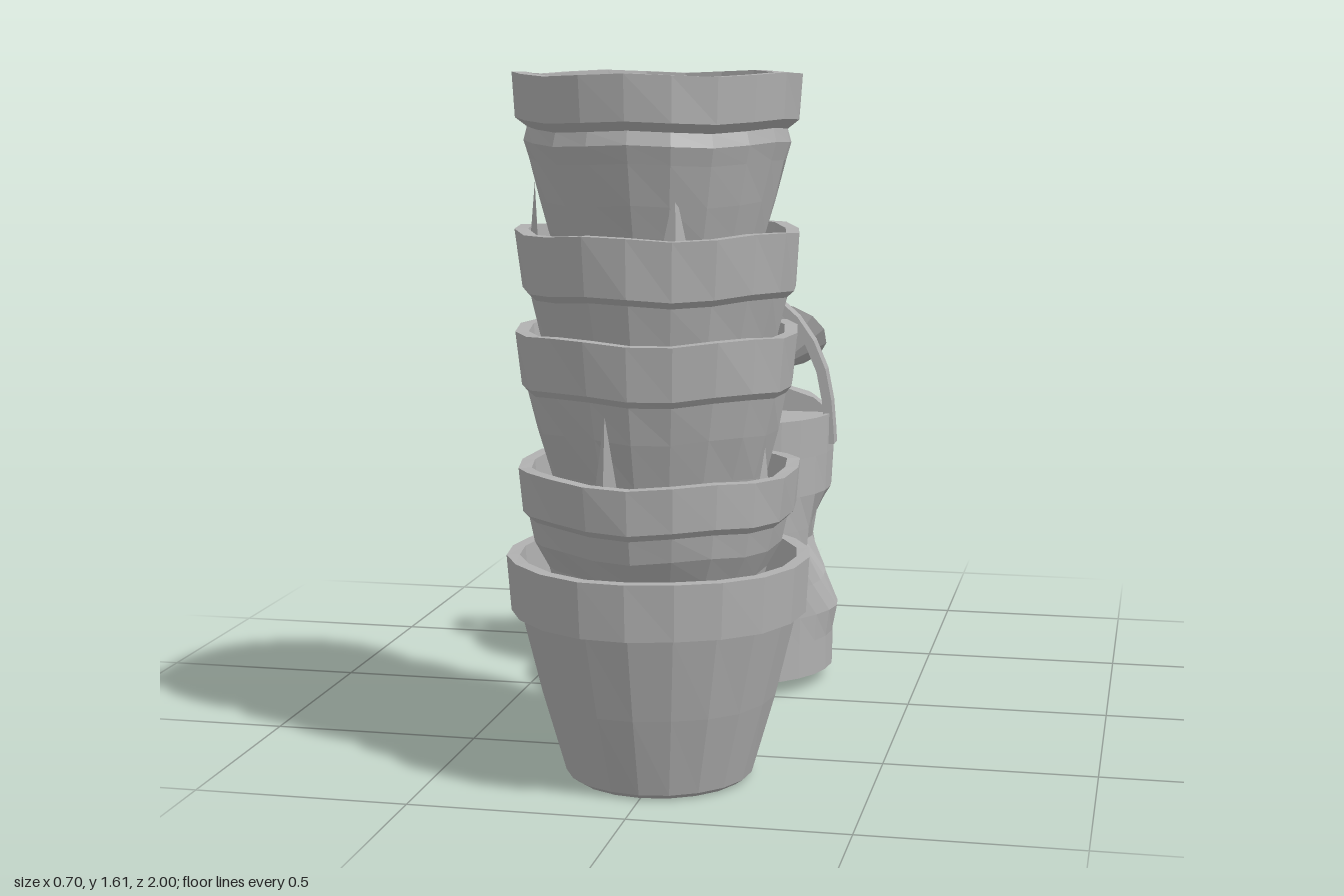
import * as THREE from 'three';

const clay = new THREE.MeshStandardMaterial({ color: 0xb0b0b0, flatShading: true, side: THREE.DoubleSide });
clay.name = 'plain grey';

const POT_Z = 0.655;
const CAN_Z = -0.22;

function part(name, geometry, parent) {
  const mesh = new THREE.Mesh(geometry, clay);
  mesh.name = name;
  parent.add(mesh);
  return mesh;
}

function lathe(points, segments, start = 0, length = Math.PI * 2) {
  return new THREE.LatheGeometry(points.map(([r, y]) => new THREE.Vector2(r, y)), segments, start, length);
}

// Moves every vertex by a rule.
function warp(geometry, rule) {
  const p = geometry.attributes.position;
  const v = new THREE.Vector3();
  for (let i = 0; i < p.count; i++) {
    v.fromBufferAttribute(p, i);
    rule(v);
    p.setXYZ(i, v.x, v.y, v.z);
  }
  geometry.computeVertexNormals();
  return geometry;
}

// Removes the triangles whose centre passes the test.
function chip(geometry, test) {
  const p = geometry.attributes.position, index = geometry.index.array, kept = [];
  const c = new THREE.Vector3(), v = new THREE.Vector3();
  for (let i = 0; i < index.length; i += 3) {
    c.set(0, 0, 0);
    for (let k = 0; k < 3; k++) c.add(v.fromBufferAttribute(p, index[i + k]));
    c.divideScalar(3);
    if (!test(c)) kept.push(index[i], index[i + 1], index[i + 2]);
  }
  geometry.setIndex(kept);
  return geometry;
}

// Worn pot: outer wall from bottom to top, then a thinner inner wall back down.
function potGeometry(outer, wear, seed) {
  const wall = 0.03;
  const bottom = outer[0][1], top = outer[outer.length - 1][1];
  const inner = outer.slice(1, -1).reverse().map(([r, y]) => [r - wall, y]);
  const rim = outer[outer.length - 1][0];
  const profile = [[0.035, bottom], ...outer, [rim - 0.03, top], ...inner,
    [outer[0][0] - wall, bottom + 0.03], [0.035, bottom + 0.03], [0.035, bottom]];
  return warp(lathe(profile, 20), (v) => {
    const a = Math.atan2(v.x, v.z);
    const k = 1 + wear * (0.6 * Math.sin(3 * a + seed + v.y * 9) + 0.5 * Math.sin(7 * a + seed * 2 - v.y * 14));
    v.x *= k;
    v.z *= k;
    if (v.y > bottom + 0.1) v.y += wear * 0.4 * Math.sin(5 * a + seed * 3);
  });
}

// Flat band following a curve of [u, v] points, extruded sideways.
function band(points, thickness, width) {
  const curve = new THREE.CatmullRomCurve3(points.map(([x, y]) => new THREE.Vector3(x, y, 0)));
  const a = [], b = [], n = 16;
  for (let i = 0; i <= n; i++) {
    const p = curve.getPoint(i / n), t = curve.getTangent(i / n);
    const dx = -t.y * thickness / 2, dy = t.x * thickness / 2;
    a.push(new THREE.Vector2(p.x + dx, p.y + dy));
    b.unshift(new THREE.Vector2(p.x - dx, p.y - dy));
  }
  const g = new THREE.ExtrudeGeometry(new THREE.Shape([...a, ...b]), { depth: width, bevelEnabled: false });
  return g.translate(0, 0, -width / 2);
}

function buildPots() {
  const stack = new THREE.Group();
  stack.name = 'potStack';
  stack.position.z = POT_Z;
  const pots = [
    ['bottomPot', 0.004, [[0.2, 0.003], [0.217, 0.015], [0.27, 0.2], [0.318, 0.395], [0.34, 0.397], [0.348, 0.525]]],
    ['secondPot', 0.013, [[0.18, 0.21], [0.25, 0.5], [0.285, 0.56], [0.298, 0.615], [0.313, 0.63], [0.322, 0.73]]],
    ['thirdPot', 0.013, [[0.19, 0.5], [0.245, 0.72], [0.275, 0.82], [0.295, 0.905], [0.308, 0.92], [0.32, 1.04]]],
    ['fourthPot', 0.013, [[0.19, 0.74], [0.27, 1.03], [0.292, 1.12], [0.309, 1.135], [0.32, 1.265]]],
    ['topPot', 0.01, [[0.185, 1.08], [0.245, 1.26], [0.265, 1.33], [0.288, 1.42], [0.3, 1.46], [0.292, 1.49], [0.318, 1.51], [0.324, 1.61]]],
  ];
  pots.forEach(([name, wear, outer], i) => {
    const g = potGeometry(outer, wear, i * 1.7);
    // Broken hole in the side of the top pot
    if (name === 'topPot') chip(g, (c) => Math.abs(Math.atan2(c.x, c.z) - 1.73) < 0.15 && c.y > 1.37 && c.y < 1.41);
    part(name, g, stack);
  });

  // Loose slivers caught between the pots: angle, radius, y, height
  [[0.36, 0.265, 1.31, 0.12], [-1.3, 0.275, 1.31, 0.12], [-0.2, 0.285, 0.8, 0.16], [1.25, 0.275, 0.74, 0.1]]
    .forEach(([a, r, y, h]) => {
      const s = part('potShard', new THREE.ConeGeometry(0.03, h, 3).scale(1, 1, 0.35), stack);
      s.position.set(Math.sin(a) * r, y, Math.cos(a) * r);
      s.rotation.y = a;
    });
  return stack;
}

function buildCan() {
  const can = new THREE.Group();
  can.name = 'wateringCan';

  // Body with one dented side and a shallow lid
  const profile = [[0, 0.04], [0.268, 0.04], [0.268, 0.13], [0.268, 0.2], [0.268, 0.28], [0.268, 0.36],
    [0.268, 0.43], [0.268, 0.52], [0.268, 0.62], [0.27, 0.72], [0.258, 0.72], [0.255, 0.705], [0, 0.705]];
  const body = warp(lathe(profile, 28), (v) => {
    if (v.x < 0.1 || v.y < 0.1 || v.y > 0.6) return;
    const side = Math.exp(-(((v.z + 0.02) / 0.12) ** 2));
    v.x -= 0.09 * side * Math.exp(-(((v.y - 0.38) / 0.085) ** 2));
    v.x += 0.016 * side * Math.exp(-(((v.y - 0.2) / 0.04) ** 2));
  });
  part('canBody', body, can).position.z = CAN_Z;

  // Domed cover over the back half, with its upright front edge
  const dome = [[0.265, 0.72], [0.22, 0.757], [0.14, 0.783], [0, 0.785]];
  part('canCover', lathe(dome, 12, Math.PI / 2, Math.PI), can).position.z = CAN_Z + 0.02;
  const edge = [...dome.map(([r, y]) => new THREE.Vector2(r, y)),
    ...dome.slice(0, -1).reverse().map(([r, y]) => new THREE.Vector2(-r, y))];
  part('coverEdge', new THREE.ShapeGeometry(new THREE.Shape(edge)), can).position.z = CAN_Z + 0.02;

  // Carrying arch
  const arch = [];
  for (let i = 0; i <= 10; i++) {
    const a = Math.PI * i / 10;
    arch.push([0.262 * Math.cos(a), 0.7 + 0.345 * Math.sin(a)]);
  }
  arch.unshift([0.266, 0.64]);
  arch.push([-0.266, 0.64]);
  part('topHandle', band(arch, 0.025, 0.05), can).position.z = -0.2;

  // Pouring handle
  const loop = [[0.01, 0.705], [0.11, 0.71], [0.2, 0.675], [0.27, 0.58], [0.29, 0.5], [0.255, 0.42], [0.15, 0.32], [0.03, 0.23]];
  part('rearHandle', band(loop, 0.034, 0.036), can).rotation.y = -Math.PI / 2;

  // Spout: tall oval root narrowing to a round neck
  const spout = warp(new THREE.CylinderGeometry(1, 1, 1, 10, 1, true), (v) => {
    const top = v.y > 0, s = v.x, c = v.z;
    if (top) v.set(0.036 * s, 0.775 + 0.02 * c, -0.82 + 0.036 * c);
    else v.set(0.062 * s, 0.235 + 0.125 * c, -0.46);
  });
  part('spout', spout, can);

  // Sprinkler rose
  const rose = part('sprinklerRose', new THREE.CylinderGeometry(0.145, 0.038, 0.1, 14), can);
  rose.position.set(0, 0.795, -0.864);
  rose.rotation.x = -0.81;

  // Small lip at the back
  const lip = new THREE.CylinderGeometry(0.028, 0.048, 0.15, 8).rotateX(-Math.PI / 2).scale(1, 0.42, 1);
  const lipMesh = part('backLip', lip, can);
  lipMesh.position.set(0, 0.678, -0.545);
  lipMesh.rotation.x = 0.06;
  return can;
}

export function createModel() {
  const model = new THREE.Group();
  model.name = 'potsAndWateringCan';
  model.add(buildPots(), buildCan());
  return model;
}
